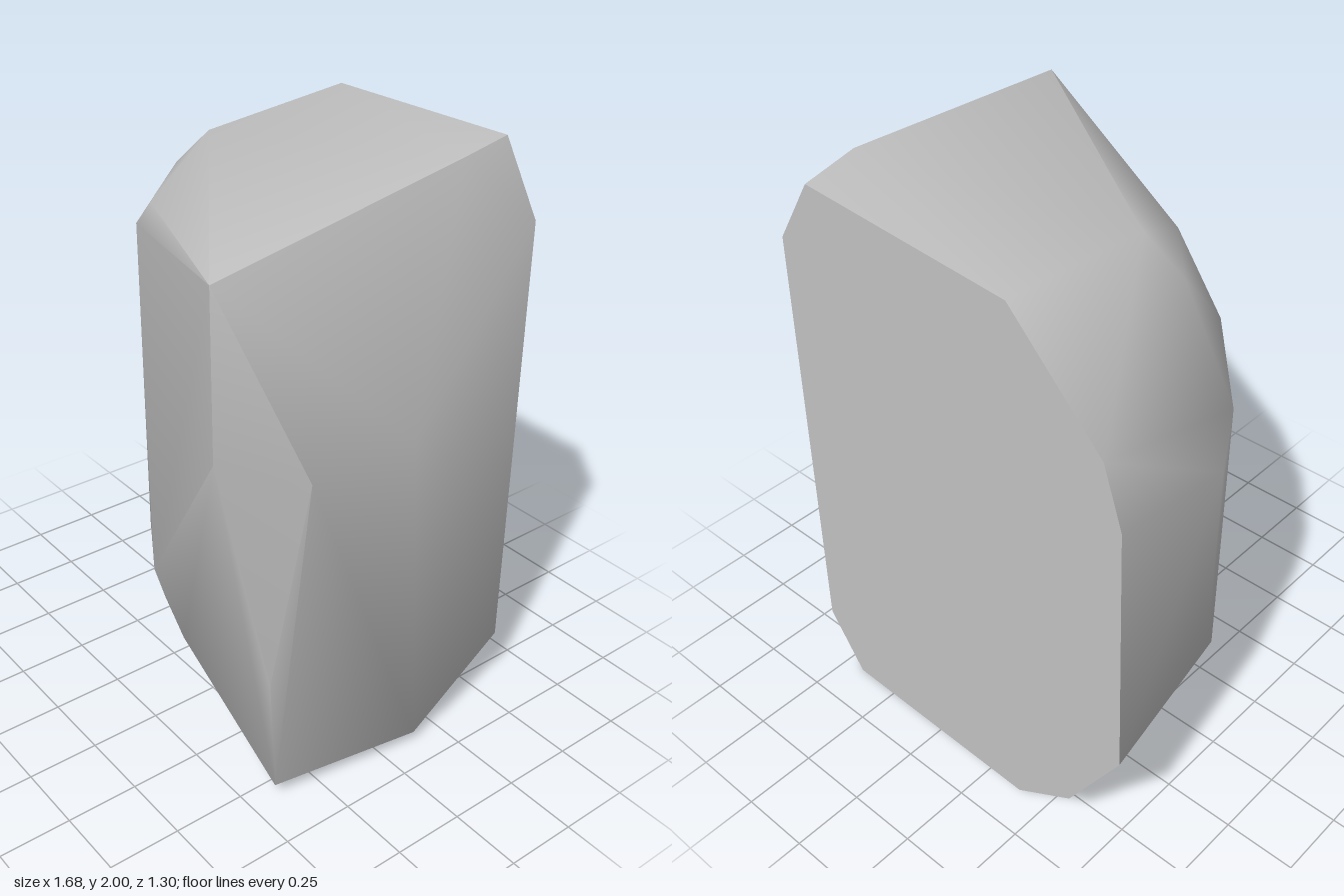
import * as THREE from 'three';
import { ConvexGeometry } from 'three/addons/geometries/ConvexGeometry.js';
import { toCreasedNormals } from 'three/addons/utils/BufferGeometryUtils.js';

// The rock's flat, slightly skewed back
const backOutline = [
  [0.57, 1.77], [0.42, 2], [-0.4, 1.97], [-0.75, 1.64], [-0.82, 1.44],
  [-0.845, 0.54], [-0.64, 0.2], [-0.41, 0.04], [0.42, 0], [0.57, 0.2],
].map(([x, y]) => [x, y, -0.614 + 0.042 * x]);

// Sharp front corner and broken right side
const rightCorners = [
  [0.6, 1.9, 0.65], [0.6, 1.37, 0.65], [0.84, 1.37, 0.5], [0.84, 1.37, 0.13],
  [0.66, 0.57, 0.5], [0.57, 0.05, 0.41], [0.65, 0.04, -0.13], [0.49, 2, -0.35],
];

// Worn shoulder between the top and the front
const upperShoulder = [
  [-0.38, 1.92, -0.05], [-0.5, 1.79, 0], [-0.28, 1.77, 0.25],
  [-0.53, 1.6, 0.15], [-0.71, 1.44, -0.01], [-0.78, 1.32, -0.14],
];

// Worn shoulder between the front and the underside
const lowerShoulder = [
  [-0.78, 0.77, -0.14], [-0.71, 0.48, -0.01], [-0.53, 0.4, 0.15], [-0.36, 0.32, 0.25],
  [-0.28, 0.25, 0.26], [-0.09, 0.2, 0.31], [-0.02, 0.04, 0.18], [-0.2, 0.1, 0.06],
  [-0.36, 0.06, -0.29],
];

export function createModel() {
  const stone = new THREE.MeshStandardMaterial({ color: 0xc3c3c3 });
  stone.name = 'grey stone';

  const points = [...backOutline, ...rightCorners, ...upperShoulder, ...lowerShoulder]
    .map((p) => new THREE.Vector3(...p));

  // Soft worn areas, crisp broken edges
  const rock = new THREE.Mesh(toCreasedNormals(new ConvexGeometry(points), 0.85), stone);
  rock.name = 'rock';

  const group = new THREE.Group();
  group.name = 'boulder';
  group.add(rock);
  return group;
}
